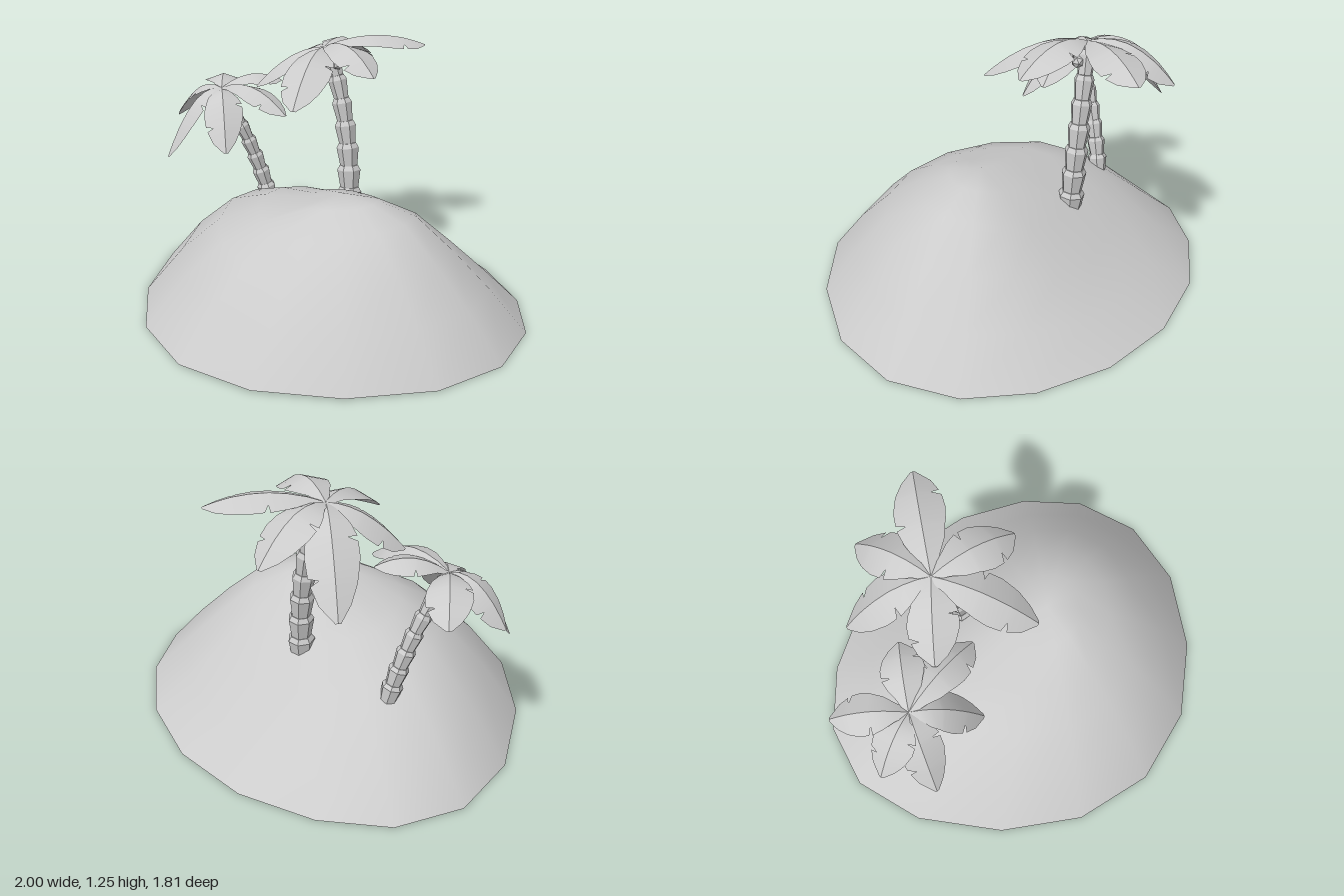
import * as THREE from 'three';
import { mergeVertices, toCreasedNormals } from 'three/addons/utils/BufferGeometryUtils.js';

const V = (x, y, z) => new THREE.Vector3(x, y, z);
const smooth = new THREE.MeshStandardMaterial({ color: 0xcccccc, side: THREE.DoubleSide });
const faceted = new THREE.MeshStandardMaterial({ color: 0xcccccc, flatShading: true });

// Skin a series of closed rings that all have the same number of points
function skin(rings) {
  const n = rings[0].length, index = [];
  for (let k = 0; k < rings.length - 1; k++) {
    for (let i = 0; i < n; i++) {
      const j = (i + 1) % n, a = k * n + i, b = k * n + j;
      index.push(a, b, b + n, a, b + n, a + n);
    }
  }
  const geometry = new THREE.BufferGeometry().setFromPoints(rings.flat());
  geometry.setIndex(index);
  return geometry;
}

function addMesh(parent, name, geometry, material) {
  const mesh = new THREE.Mesh(geometry, material);
  mesh.name = name;
  parent.add(mesh);
  return mesh;
}

// Island: shore outline (x, z) shrunk toward the summit, with a slope per compass side
const shore = [
  [-0.17, -0.91], [0.22, -0.87], [0.57, -0.71], [0.84, -0.46], [0.99, -0.17], [1, 0.17],
  [0.84, 0.49], [0.53, 0.75], [0.16, 0.9], [-0.23, 0.89], [-0.58, 0.7], [-0.84, 0.38],
  [-1, -0.02], [-1, -0.38], [-0.83, -0.66], [-0.54, -0.83],
];
const slopes = {
  left: [0.62, 0.6, 0.545, 0.39, 0.21, 0],
  right: [0.62, 0.545, 0.51, 0.435, 0.25, 0],
  front: [0.62, 0.59, 0.49, 0.38, 0.22, 0.01],
  back: [0.62, 0.555, 0.425, 0.265, 0.12, 0],
};

function islandGeometry() {
  const cx = 0.13, cz = 0.08, rings = [];
  for (let k = 0; k <= 5; k++) {
    rings.push(shore.map(([x, z]) => {
      const dx = x - cx, dz = z - cz, w = (dx * dx) / (dx * dx + dz * dz);
      const sideX = dx > 0 ? slopes.left : slopes.right;
      const sideZ = dz > 0 ? slopes.front : slopes.back;
      return V(cx + dx * k / 5, w * sideX[k] + (1 - w) * sideZ[k], cz + dz * k / 5);
    }));
  }
  const geometry = mergeVertices(skin(rings));
  geometry.computeVertexNormals();
  return geometry;
}

// Leaf: folded blade along an arc, with one notch on each edge
// [position along leaf, width on one side, width on the other]
const blade = [
  [0, 0.02, 0.02], [0.15, 0.05, 0.05], [0.3, 0.09, 0.085], [0.44, 0.112, 0.1],
  [0.46, 0.07, 0.103], [0.49, 0.113, 0.107], [0.62, 0.115, 0.115], [0.75, 0.1, 0.108],
  [0.77, 0.097, 0.065], [0.8, 0.092, 0.1], [0.91, 0.06, 0.072], [1, 0.012, 0.012],
];

function leafGeometry(base, tip, rise, size) {
  const middle = base.clone().lerp(tip, 0.5).setY(base.y + rise);
  const arc = new THREE.QuadraticBezierCurve3(base, middle, tip);
  const side = V(tip.x - base.x, 0, tip.z - base.z).cross(V(0, 1, 0)).normalize();
  const rings = blade.map(([t, l, r]) => {
    const p = arc.getPoint(t), up = side.clone().cross(arc.getTangent(t));
    const at = (s, h) => p.clone().addScaledVector(side, s * size).addScaledVector(up, h * size);
    const thick = 0.022 * (1 - 0.8 * t);
    return [at(-l, -0.35 * l), at(0, 0), at(r, -0.35 * r), at(0, -thick)];
  });
  return toCreasedNormals(skin(rings), 0.6);
}

// Palm: stacked flared trunk rings, a crown of leaves and a few nuts below it
function palm({ name, path, rings, radius, crown, size, leaves }) {
  const group = new THREE.Group();
  group.name = name;
  const curve = new THREE.QuadraticBezierCurve3(...path);
  for (let i = 0; i < rings; i++) {
    const a = curve.getPointAt(i / rings), b = curve.getPointAt((i + 1) / rings);
    const R = radius * (1 - 0.35 * i / rings), L = a.distanceTo(b);
    const profile = [[0, 0], [0.78 * R, 0], [R, 0.8 * L], [0.78 * R, L], [0, L]]
      .map(([x, y]) => new THREE.Vector2(x, y));
    const ring = addMesh(group, 'trunkRing', new THREE.LatheGeometry(profile, 7), faceted);
    ring.position.copy(a);
    ring.quaternion.setFromUnitVectors(V(0, 1, 0), b.sub(a).normalize());
  }
  leaves.forEach(([x, y, z, rise]) =>
    addMesh(group, 'leaf', leafGeometry(crown, V(x, y, z), rise, size), smooth));
  for (let i = 0; i < 4; i++) {
    const angle = 0.5 + i * Math.PI / 2, reach = 0.062 * size;
    const nut = addMesh(group, 'coconut', new THREE.IcosahedronGeometry(0.03 * size, 0), faceted);
    nut.position.set(path[2].x + reach * Math.cos(angle), path[2].y - 0.045, path[2].z + reach * Math.sin(angle));
  }
  return group;
}

export function createModel() {
  const model = new THREE.Group();
  model.name = 'palmIsland';
  addMesh(model, 'island', islandGeometry(), smooth);

  model.add(palm({
    name: 'tallPalm',
    path: [V(-0.045, 0.37, -0.31), V(-0.05, 0.82, -0.34), V(-0.17, 1.17, -0.33)],
    rings: 7, radius: 0.064, crown: V(-0.2, 1.2, -0.32), size: 1,
    leaves: [
      [0.18, 1.13, -0.13, 0.11], [0.19, 1.19, -0.66, 0.1], [-0.19, 1.05, -0.74, 0.09],
      [-0.5, 0.86, -0.62, 0.03], [-0.49, 1.0, -0.14, 0.0], [-0.09, 1.0, 0.15, 0.04],
    ],
  }));

  model.add(palm({
    name: 'shortPalm',
    path: [V(-0.54, 0.33, -0.31), V(-0.6, 0.66, -0.26), V(-0.7, 0.93, -0.14)],
    rings: 7, radius: 0.05, crown: V(-0.71, 0.96, -0.14), size: 0.85,
    leaves: [
      [-0.9, 0.89, -0.44, 0.1], [-0.47, 0.99, -0.34, 0.12], [-0.99, 0.78, -0.13, 0.06],
      [-0.9, 0.62, 0.09, 0.04], [-0.51, 0.71, 0.11, 0.04], [-0.28, 0.89, -0.08, 0.11],
    ],
  }));
  return model;
}
